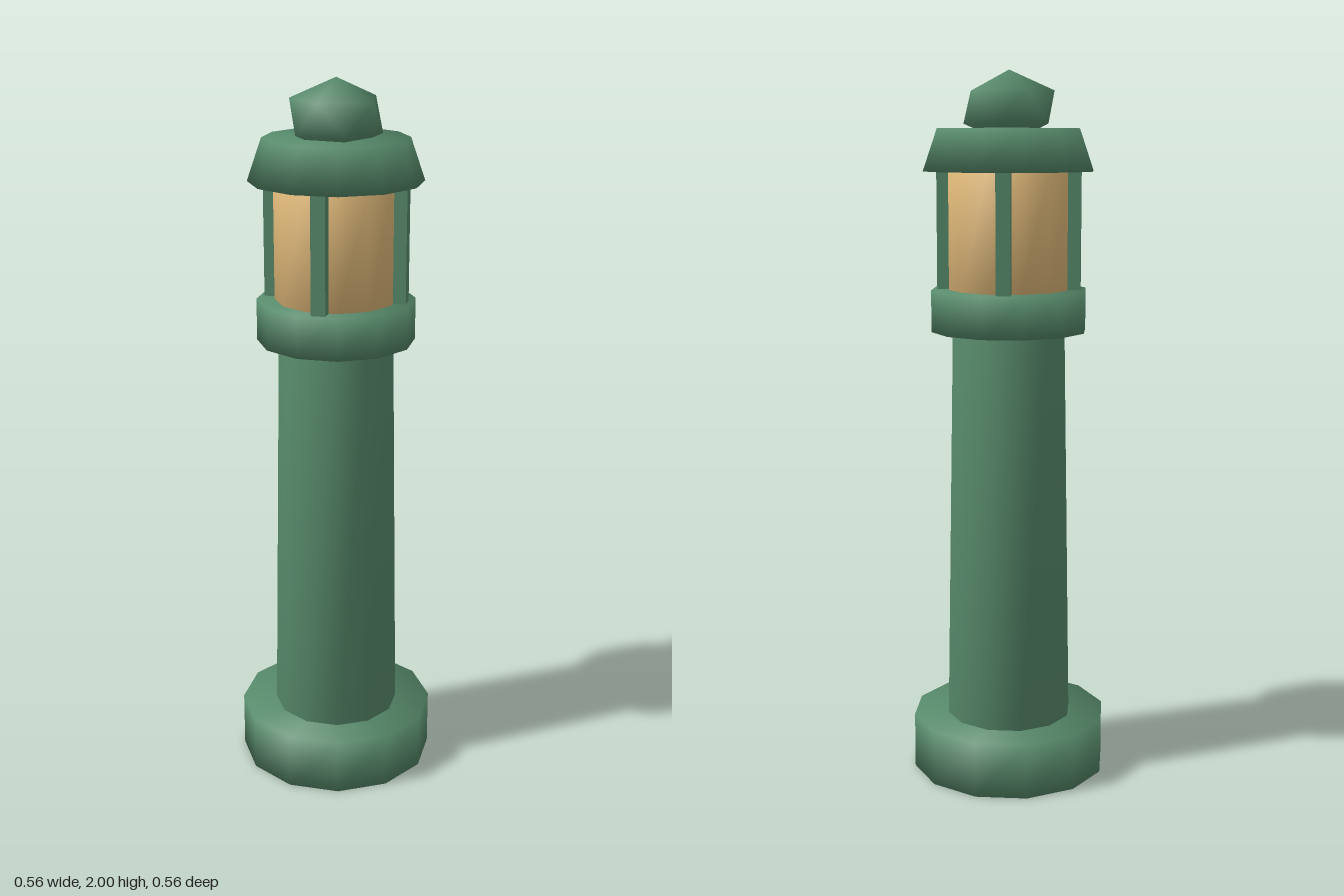
import * as THREE from 'three';
import { mergeVertices } from 'three/addons/utils/BufferGeometryUtils.js';

// Weld shared corners so normals run smoothly across edges and caps
function smooth(geometry) {
  geometry.deleteAttribute('normal');
  geometry.deleteAttribute('uv');
  const welded = mergeVertices(geometry, 1e-4);
  welded.computeVertexNormals();
  return welded;
}

export function createModel() {
  const group = new THREE.Group();
  const green = new THREE.MeshStandardMaterial({ color: 0x578a6b });
  green.name = 'green paint';
  const amber = new THREE.MeshStandardMaterial({ color: 0xdfb878 });
  amber.name = 'amber glass';

  function add(name, geometry, material) {
    const mesh = new THREE.Mesh(geometry, material);
    mesh.name = name;
    group.add(mesh);
    return mesh;
  }

  // Twelve-sided drum from y0 to y1
  function drum(name, rBottom, rTop, y0, y1, material = green) {
    const geometry = smooth(new THREE.CylinderGeometry(rTop, rBottom, y1 - y0, 12));
    add(name, geometry, material).position.y = (y0 + y1) / 2;
  }

  drum('base', 0.28, 0.28, 0, 0.16);
  drum('tower', 0.18, 0.16, 0.16, 1.285);
  drum('gallery', 0.22, 0.22, 1.285, 1.402);
  drum('lanternGlass', 0.17, 0.17, 1.402, 1.727, amber);
  drum('roof', 0.24, 0.2, 1.727, 1.843);

  // Four posts on the diagonals of the lantern
  for (let i = 0; i < 4; i++) {
    const angle = Math.PI / 4 + (i * Math.PI) / 2;
    const post = add('lanternPost', new THREE.BoxGeometry(0.04, 0.325, 0.04), green);
    post.position.set(0.18 * Math.sin(angle), 1.5645, 0.18 * Math.cos(angle));
    post.rotation.y = angle;
  }

  // Squashed icosahedron finial, one corner pointing up
  const finial = new THREE.IcosahedronGeometry(0.14);
  finial.rotateX(-Math.atan((1 + Math.sqrt(5)) / 2));
  finial.rotateY(Math.PI / 2);
  finial.scale(1, 0.1 / 0.14, 1);
  add('finial', smooth(finial), green).position.y = 1.9;

  return group;
}
